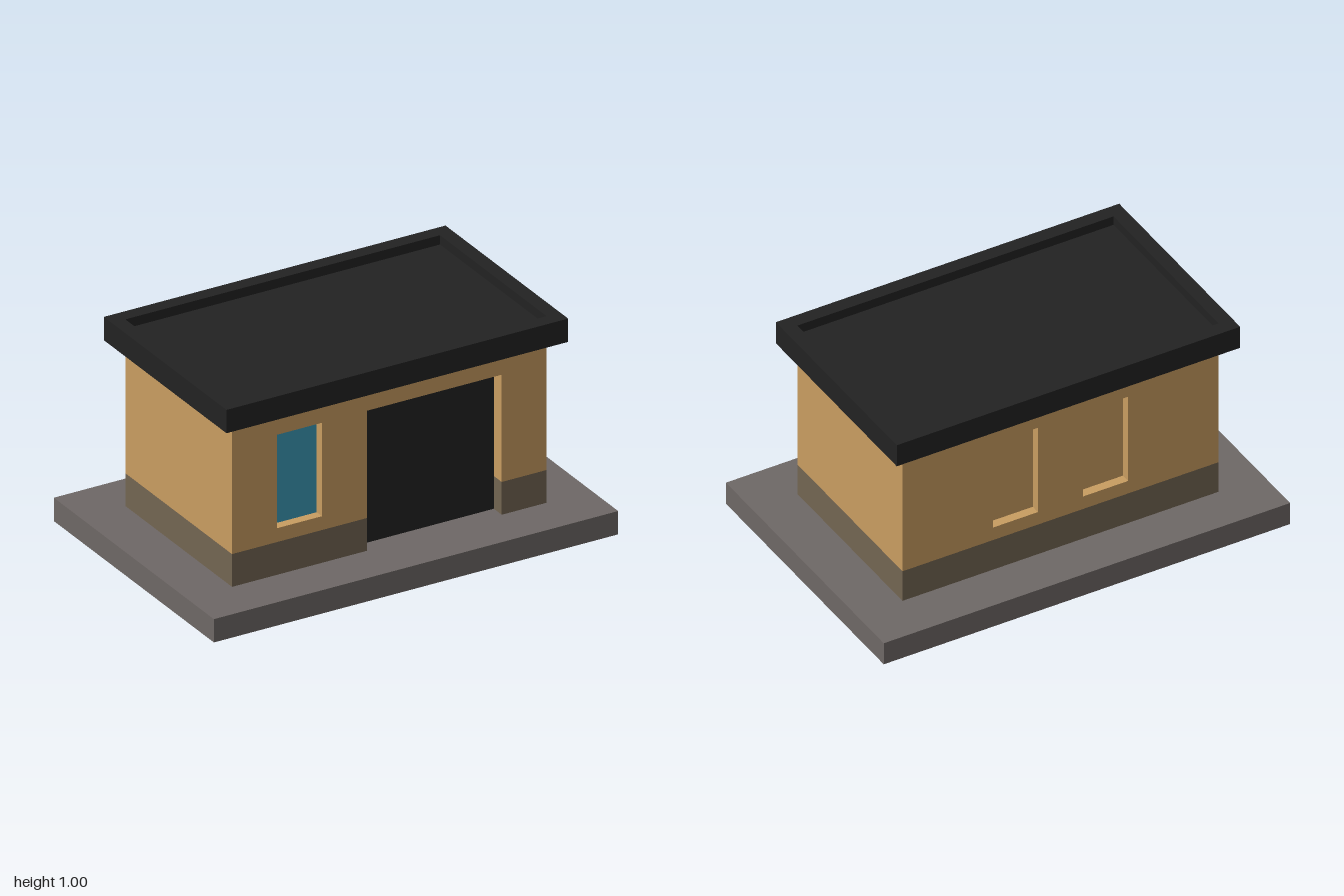
import * as THREE from 'three';

const material = (name, color) => new THREE.MeshStandardMaterial({ name, color });

export function createModel() {
  const model = new THREE.Group();
  model.name = 'smallBuilding';

  const concrete = material('concreteGrey', 0x6e6866);
  const plaster = material('ochrePlaster', 0xc99d61);
  const plinthPaint = material('plinthBrown', 0x736552);
  const black = material('roofBlack', 0x222222);
  const glass = material('windowBlue', 0x3b98b6);

  // Key dimensions
  const W = 0.778, D = 0.444;              // half width and half depth of the walls
  const base = 0.111, plinthTop = 0.267, eaves = 0.889, top = 1;
  const sill = 0.333, head = 0.778;        // window bottom, top of all openings
  const doorL = -0.111, doorR = 0.556;
  const coreFront = 0.37, coreBack = -0.4;
  const overhang = 0.067;

  const add = (name, geometry, mat) => {
    const mesh = new THREE.Mesh(geometry, mat);
    mesh.name = name;
    model.add(mesh);
    return mesh;
  };

  // Box given by its limits on each axis
  const block = (name, mat, x0, x1, y0, y1, z0, z1) => {
    const mesh = add(name, new THREE.BoxGeometry(x1 - x0, y1 - y0, z1 - z0), mat);
    mesh.position.set((x0 + x1) / 2, (y0 + y1) / 2, (z0 + z1) / 2);
    return mesh;
  };

  const polygon = (points, Type = THREE.Shape) =>
    new Type(points.map(([x, y]) => new THREE.Vector2(x, y)));
  const rect = (x0, x1, y0, y1, Type) =>
    polygon([[x0, y0], [x1, y0], [x1, y1], [x0, y1]], Type);
  const extrude = (shape, depth) =>
    new THREE.ExtrudeGeometry(shape, { depth, bevelEnabled: false });

  // Ground slab
  block('groundSlab', concrete, -1, 1, 0, base, -0.667, 0.667);

  // Solid core behind the front and back wall skins
  block('wallCore', plaster, -W, W, plinthTop, eaves, coreBack, coreFront);
  block('plinthCore', plinthPaint, -W, W, base, plinthTop, coreBack, coreFront);

  // Front wall skin with a door notch and a window opening
  const front = polygon([
    [-W, plinthTop], [doorL, plinthTop], [doorL, head], [doorR, head],
    [doorR, plinthTop], [W, plinthTop], [W, eaves], [-W, eaves],
  ]);
  front.holes.push(rect(-0.556, -0.333, sill, head, THREE.Path));
  add('frontWall', extrude(front, D - coreFront), plaster).position.z = coreFront;
  block('frontPlinthRight', plinthPaint, -W, doorL, base, plinthTop, coreFront, D);
  block('frontPlinthLeft', plinthPaint, doorR, W, base, plinthTop, coreFront, D);

  // Back wall skin with two blind window niches
  const back = rect(-W, W, plinthTop, eaves);
  for (const x of [-0.333, 0.111]) {
    back.holes.push(rect(x, x + 0.222, sill, head, THREE.Path));
  }
  add('backWall', extrude(back, D + coreBack), plaster).position.z = -D;
  block('backPlinth', plinthPaint, -W, W, base, plinthTop, -D, coreBack);

  // Recessed door and window pane
  block('door', black, doorL, doorR, base, head, coreFront, 0.378);
  block('windowPane', glass, -0.556, -0.333, sill, head, 0.392, 0.4);

  // Flat roof: parapet ring around a sunken deck
  const ring = rect(-W - overhang, W + overhang, -D - overhang, D + overhang);
  ring.holes.push(rect(-W, W, -D, D, THREE.Path));
  const parapet = extrude(ring, top - eaves).rotateX(-Math.PI / 2);
  add('roofParapet', parapet, black).position.y = eaves;
  block('roofDeck', black, -W, W, eaves, 0.956, -D, D);

  return model;
}
